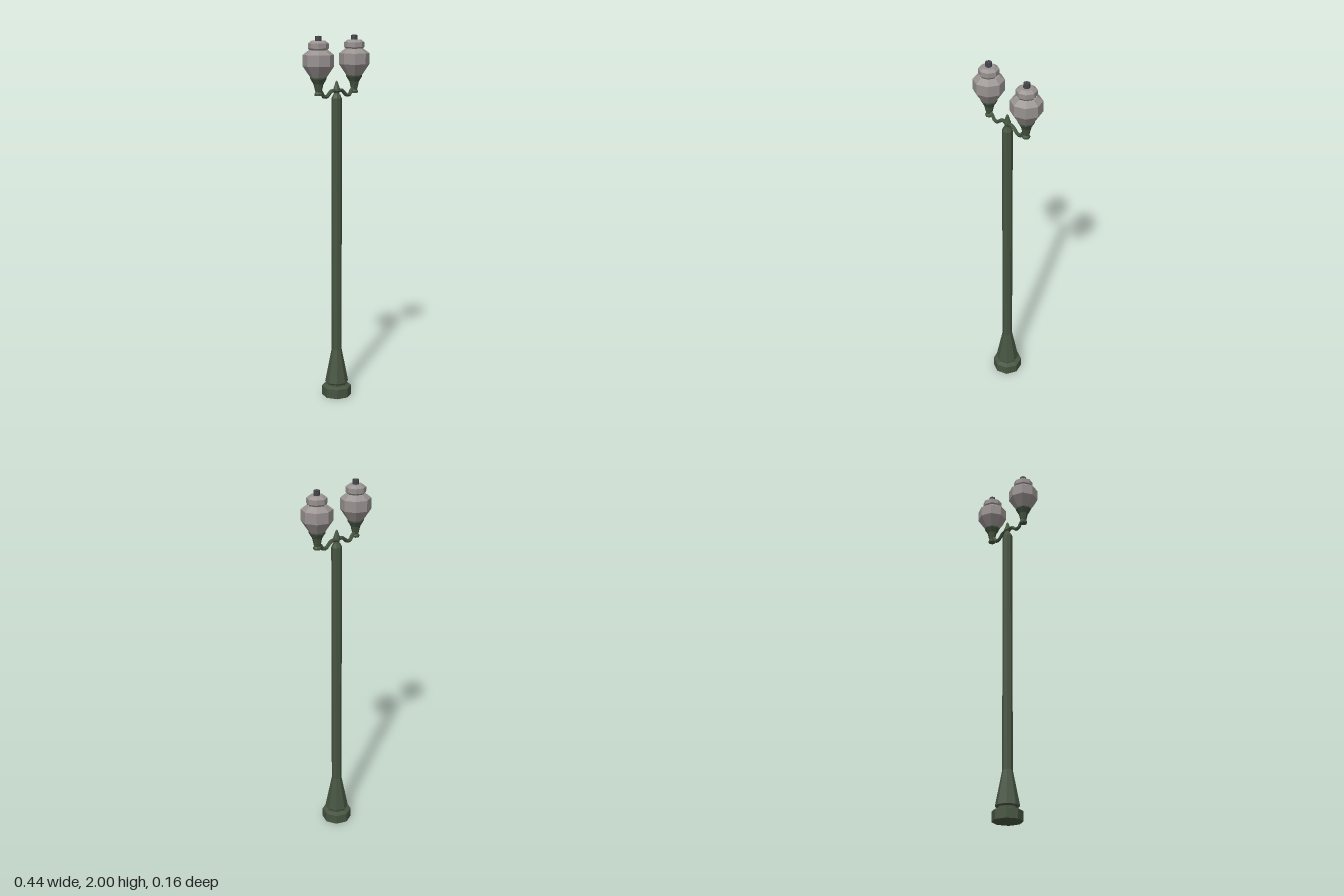
import * as THREE from 'three';

const material = (name, color) => {
  const m = new THREE.MeshStandardMaterial({ color, flatShading: true });
  m.name = name;
  return m;
};

export function createModel() {
  const green = material('dark green iron', 0x465441);
  const glass = material('frosted grey glass', 0x989290);
  const dark = material('dark metal', 0x45454c);

  // Eight-sided turned part from [radius, height] pairs, bottom to top
  const turned = (name, mat, profile) => {
    const points = profile.map(([r, y]) => new THREE.Vector2(r, y));
    const mesh = new THREE.Mesh(new THREE.LatheGeometry(points, 8), mat);
    mesh.name = name;
    return mesh;
  };

  const model = new THREE.Group();
  model.name = 'streetLamp';

  // Plinth, collar and tapered foot
  model.add(turned('base', green, [
    [0, 0], [0.082, 0], [0.082, 0.053], [0.056, 0.062], [0.056, 0.072],
    [0.065, 0.08], [0.028, 0.27], [0, 0.27],
  ]));
  // Post with a narrowing top
  model.add(turned('post', green, [
    [0.028, 0.26], [0.028, 1.67], [0.019, 1.69], [0, 1.69],
  ]));
  // Pointed finial
  model.add(turned('finial', green, [
    [0.018, 1.685], [0.014, 1.7], [0.02, 1.71], [0.018, 1.72], [0.006, 1.757], [0, 1.764],
  ]));

  for (const side of [1, -1]) {
    // Curved arm of near-square section
    const path = new THREE.CatmullRomCurve3([
      [0, 1.706], [0.035, 1.712], [0.056, 1.7], [0.075, 1.684],
      [0.1, 1.684], [0.115, 1.705], [0.14, 1.722],
    ].map(([x, y]) => new THREE.Vector3(side * x, y, 0)));
    const arm = new THREE.Mesh(new THREE.TubeGeometry(path, 12, 0.01, 6), green);
    arm.name = side > 0 ? 'leftArm' : 'rightArm';
    model.add(arm);

    // Lantern: flared holder, globe, stepped lid and knob
    const lantern = new THREE.Group();
    lantern.name = side > 0 ? 'leftLantern' : 'rightLantern';
    lantern.position.x = side * 0.14;
    lantern.add(
      turned('holder', green, [
        [0, 1.692], [0.02, 1.692], [0.021, 1.702], [0.016, 1.71],
        [0.026, 1.752], [0.043, 1.78], [0.043, 1.788], [0, 1.788],
      ]),
      turned('globe', glass, [
        [0.042, 1.786], [0.082, 1.845], [0.082, 1.903], [0.05, 1.928],
      ]),
      turned('lid', glass, [
        [0.046, 1.926], [0.054, 1.936], [0.054, 1.962], [0.036, 1.975], [0, 1.975],
      ]),
      turned('knob', dark, [[0.017, 1.97], [0.017, 2], [0, 2]]),
    );
    model.add(lantern);
  }
  return model;
}
